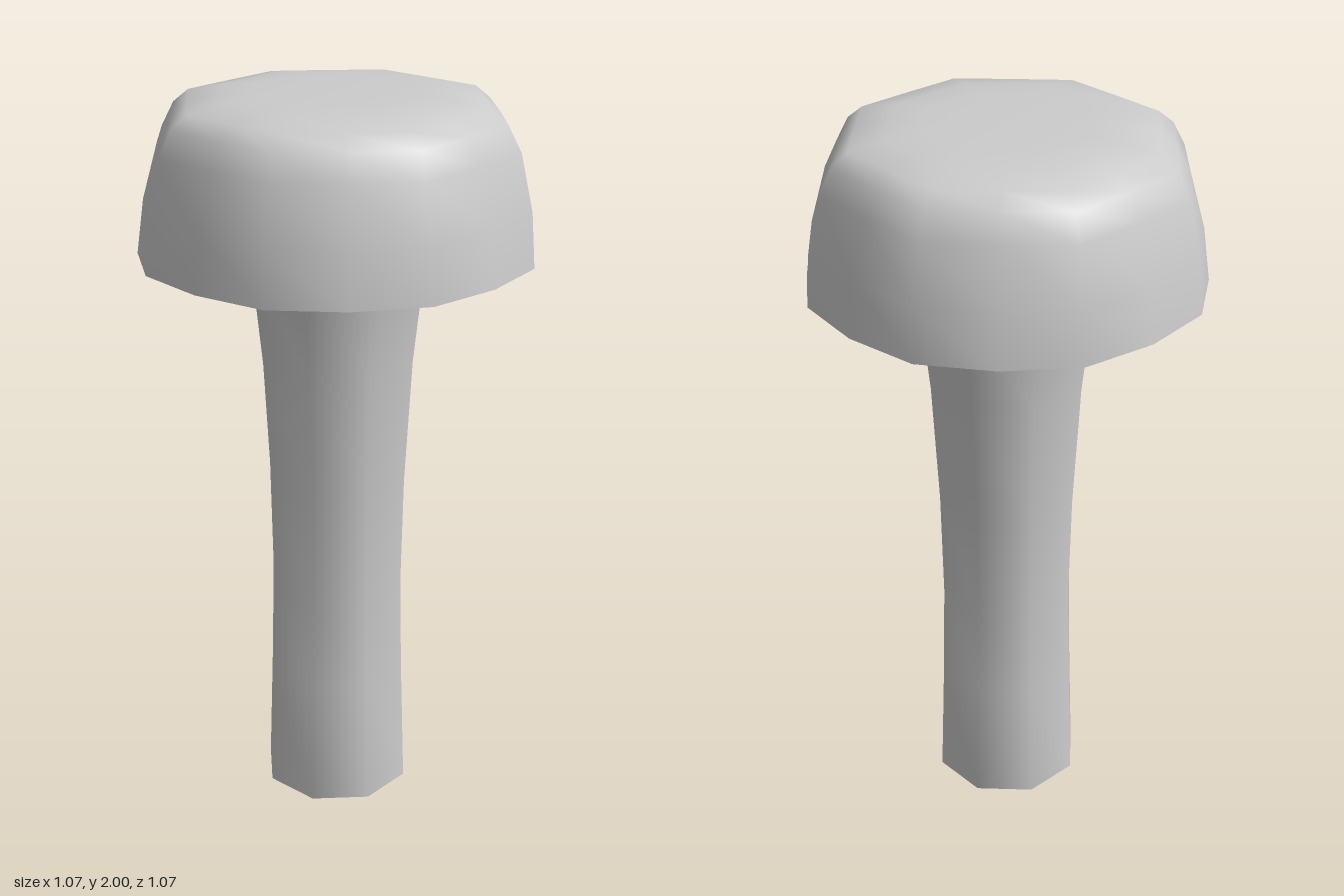
import * as THREE from 'three';
import { mergeVertices } from 'three/addons/utils/BufferGeometryUtils.js';

const material = new THREE.MeshStandardMaterial({ color: 0xcccccc, side: THREE.DoubleSide });

// Smooth low-poly shell of revolution; midScale(y) pulls in every second vertex of a ring
function turned(name, profile, sides, midScale) {
  const geo = new THREE.LatheGeometry(profile.map(([r, y]) => new THREE.Vector2(r, y)), sides);
  geo.deleteAttribute('uv');
  geo.deleteAttribute('normal');
  const pos = geo.attributes.position;
  if (midScale) {
    for (let i = 0; i < pos.count; i++) {
      if (Math.floor(i / profile.length) % 2 === 0) continue;
      const s = midScale(pos.getY(i));
      pos.setX(i, pos.getX(i) * s);
      pos.setZ(i, pos.getZ(i) * s);
    }
  }
  const smooth = mergeVertices(geo, 1e-4);
  smooth.computeVertexNormals();
  const mesh = new THREE.Mesh(smooth, material);
  mesh.name = name;
  return mesh;
}

export function createModel() {
  const group = new THREE.Group();
  group.name = 'mushroom';

  // Hollow stem, open at the bottom and flaring up into the cap
  group.add(turned('stem', [
    [0.208, 0], [0.196, 0.36], [0.19, 0.63], [0.196, 0.94],
    [0.215, 1.29], [0.246, 1.58], [0.295, 1.77], [0.33, 1.87],
  ], 8));

  // Open cap: sixteen-sided rim easing into an eight-sided flat top
  const rimY = 1.58, topY = 2;
  group.add(turned('cap', [
    [0.533, rimY], [0.522, 1.725], [0.488, 1.875], [0.453, 1.94],
    [0.41, 1.975], [0.317, 1.993], [0.22, topY], [0, topY],
  ], 16, (y) => THREE.MathUtils.mapLinear(y, rimY, topY, 0.977, 0.924)));

  return group;
}
